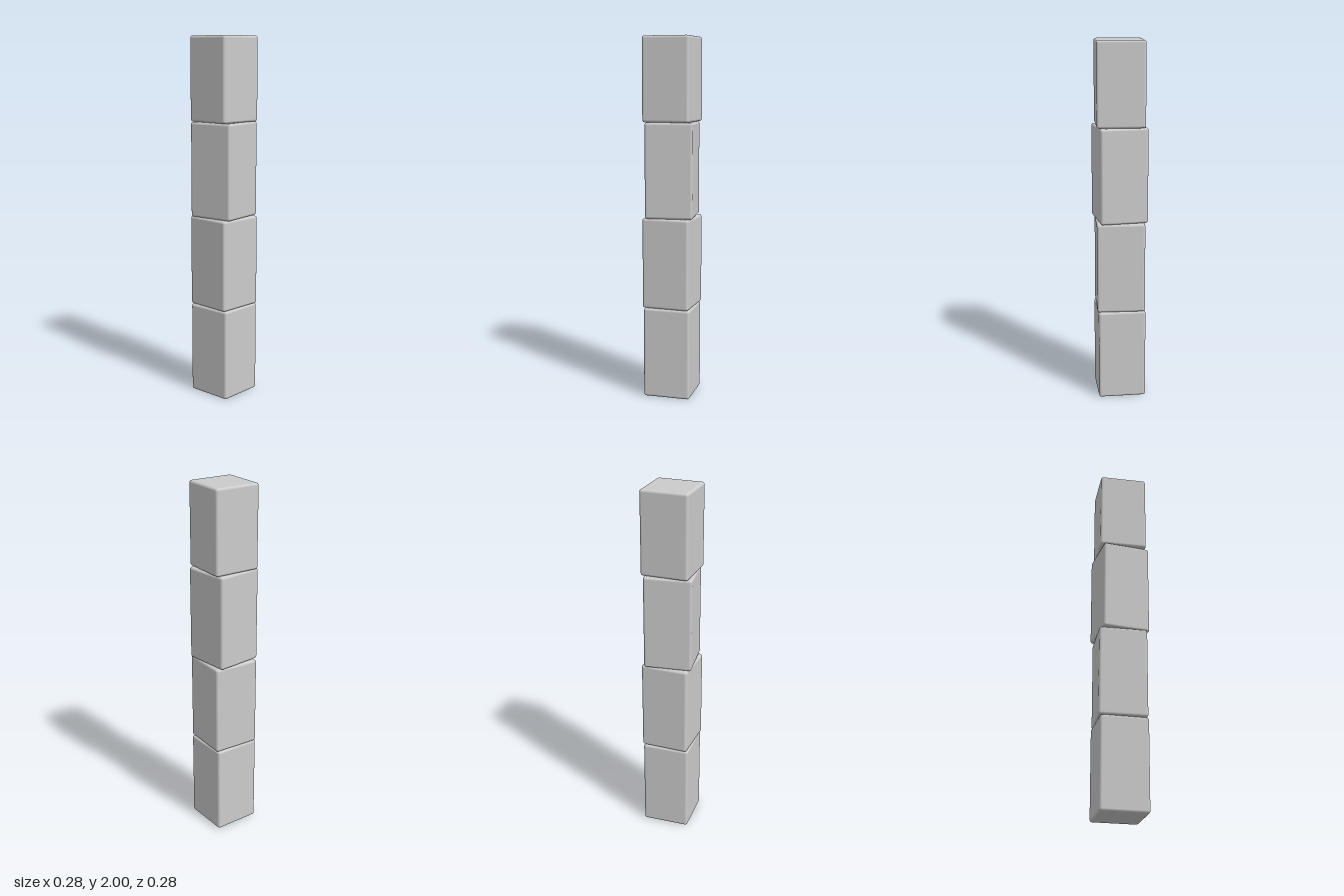
import * as THREE from 'three';
import { RoundedBoxGeometry } from 'three/addons/geometries/RoundedBoxGeometry.js';

// Stacked blocks from bottom to top: base height, top height, width, twist
const BLOCKS = [
  { name: 'bottomBlock', y0: 0, y1: 0.51, width: 0.264, twist: -0.01 },
  { name: 'lowerMiddleBlock', y0: 0.51, y1: 1.016, width: 0.266, twist: -0.06 },
  { name: 'upperMiddleBlock', y0: 1.016, y1: 1.54, width: 0.264, twist: 0.09 },
  { name: 'topBlock', y0: 1.54, y1: 2, width: 0.264, twist: -0.055 },
];

export function createModel() {
  const model = new THREE.Group();
  model.name = 'blockPillar';
  const material = new THREE.MeshStandardMaterial({ color: 0xcccccc });

  // Each block is a soft-edged box turned slightly about the pillar's axis
  for (const { name, y0, y1, width, twist } of BLOCKS) {
    const geometry = new RoundedBoxGeometry(width, y1 - y0, width, 4, 0.014);
    const block = new THREE.Mesh(geometry, material);
    block.name = name;
    block.position.y = (y0 + y1) / 2;
    block.rotation.y = twist;
    model.add(block);
  }
  return model;
}
